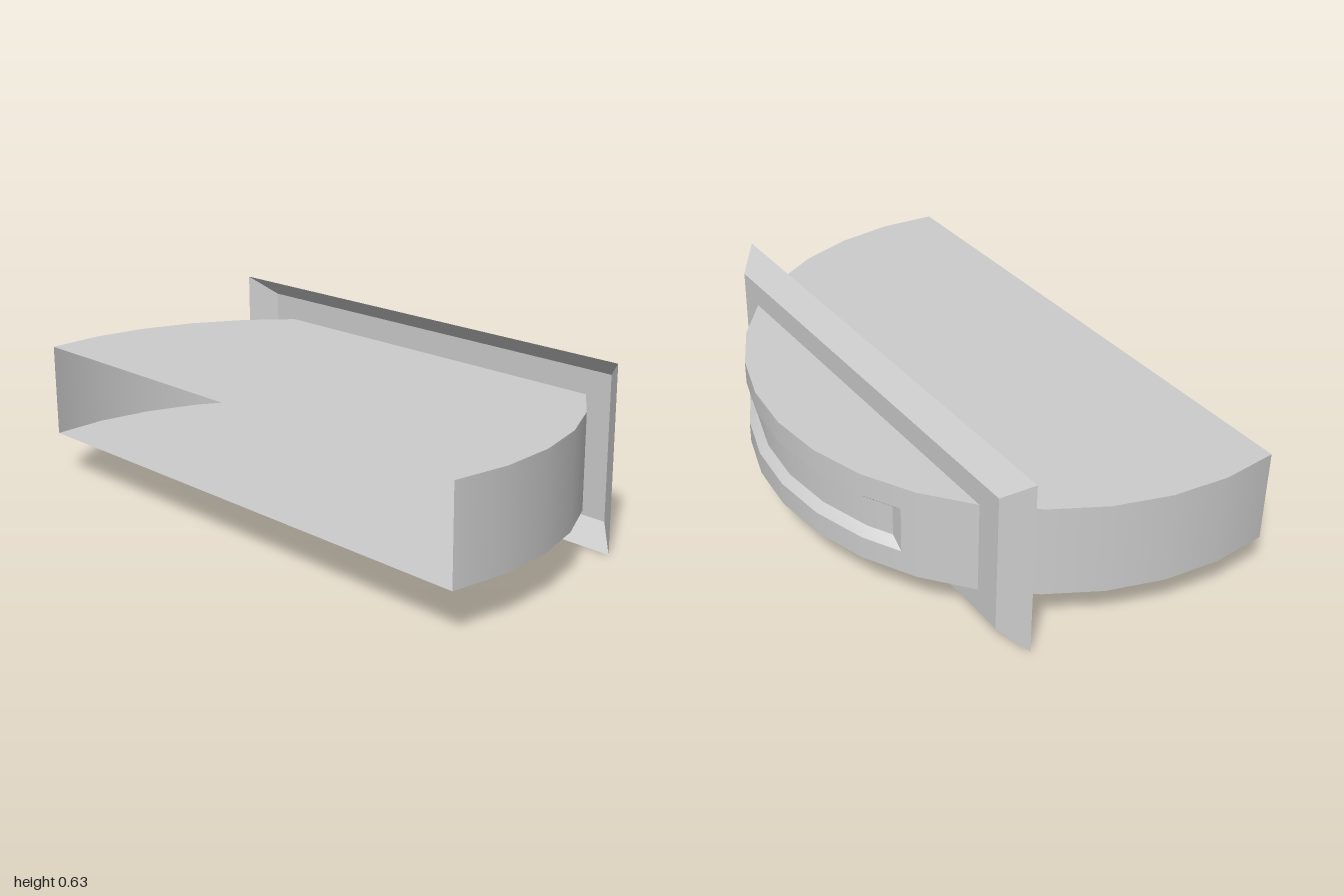
import * as THREE from 'three';

const CX = -0.4025;               // centre of the round body
const STEP = Math.PI / 16;        // one side of the 32-sided outline
const Y0 = 0.155, Y1 = 0.478;     // underside and top of the body
const G0 = 0.235, G1 = 0.398;     // groove mouth
const F0 = 0.262, F1 = 0.371;     // groove floor
const FLOOR_R = 0.97;
const MOUTH_A = Math.asin(0.51), FLOOR_A = Math.asin(0.455 / FLOOR_R);

const material = new THREE.MeshStandardMaterial({ color: 0xcccccc, side: THREE.DoubleSide });

// Point on the 32-sided outline at angle a
function rim(a, r, y) {
  const mid = (Math.floor(a / STEP + 1e-6) + 0.5) * STEP;
  const d = r * Math.cos(STEP / 2) / Math.cos(a - mid);
  return [CX + d * Math.cos(a), y, d * Math.sin(a)];
}

// Outline angles from a0 to a1, with the corners between them
function angles(a0, a1) {
  const list = [a0];
  for (let k = -9; k <= 9; k++) {
    const a = k * STEP;
    if (a > a0 + 1e-4 && a < a1 - 1e-4) list.push(a);
  }
  return [...list, a1];
}

// Smooth strip between a lower and an upper row of points; radial gives wall normals
function strip(low, high, radial) {
  const pos = [], index = [], normals = [];
  low.forEach((p, i) => {
    pos.push(...p, ...high[i]);
    const n = new THREE.Vector3(p[0] - CX, 0, p[2]).normalize();
    normals.push(...n.toArray(), ...n.toArray());
    const k = 2 * i;
    if (i < low.length - 1) index.push(k, k + 1, k + 3, k, k + 3, k + 2);
  });
  const g = new THREE.BufferGeometry();
  g.setAttribute('position', new THREE.Float32BufferAttribute(pos, 3));
  g.setIndex(index);
  if (radial) g.setAttribute('normal', new THREE.Float32BufferAttribute(normals, 3));
  else g.computeVertexNormals();
  return g;
}

function wall(a0, a1, r, y0, y1) {
  const list = angles(a0, a1);
  return strip(list.map(a => rim(a, r, y0)), list.map(a => rim(a, r, y1)), true);
}

function add(parent, name, geometry) {
  const mesh = new THREE.Mesh(geometry, material);
  mesh.name = name;
  parent.add(mesh);
  return mesh;
}

function createBody() {
  const body = new THREE.Group();
  body.name = 'body';
  const END = 9 * STEP;

  // Curved wall, left open around the groove and at the straight side
  add(body, 'lowerWall', wall(-END, END, 1, Y0, G0));
  add(body, 'upperWall', wall(-END, END, 1, G1, Y1));
  add(body, 'wallSide', wall(-END, -MOUTH_A, 1, G0, G1));
  add(body, 'wallSide', wall(MOUTH_A, END, 1, G0, G1));

  // Flat top and underside
  const outline = new THREE.Shape(angles(-END, END).map(a => {
    const [x, , z] = rim(a, 1, 0);
    return new THREE.Vector2(x, -z);
  }));
  const top = new THREE.ShapeGeometry(outline).rotateX(-Math.PI / 2).translate(0, Y1, 0);
  add(body, 'topPanel', top);
  const bottom = new THREE.ShapeGeometry(outline).scale(1, -1, 1);
  bottom.index.array.reverse();
  bottom.rotateX(Math.PI / 2).translate(0, Y0, 0);
  bottom.computeVertexNormals();
  add(body, 'bottomPanel', bottom);

  // Groove with sloping sides
  const mouth = angles(-MOUTH_A, MOUTH_A);
  const floor = [-FLOOR_A, ...mouth.slice(1, -1), FLOOR_A];
  const mouthRow = y => mouth.map(a => rim(a, 1, y));
  const floorRow = y => floor.map(a => rim(a, FLOOR_R, y));
  add(body, 'grooveFloor', strip(floorRow(F0), floorRow(F1), true));
  add(body, 'grooveLowerSlope', strip(mouthRow(G0), floorRow(F0)));
  add(body, 'grooveUpperSlope', strip(floorRow(F1), mouthRow(G1)));
  for (const s of [-1, 1]) {
    const outer = [rim(s * MOUTH_A, 1, G0), rim(s * MOUTH_A, 1, G1)];
    const inner = [rim(s * FLOOR_A, FLOOR_R, F0), rim(s * FLOOR_A, FLOOR_R, F1)];
    const [a, b] = s < 0 ? [outer, inner] : [inner, outer];
    add(body, 'grooveEnd', strip([a[0], b[0]], [a[1], b[1]]));
  }
  return body;
}

// Hollow bevelled surround: rectangles joined from back edge to front edge to opening
function createFrame() {
  const loops = [
    { x: 0.228, z: 0.885, y0: 0, y1: 0.628 },
    { x: 0.304, z: 0.805, y0: 0.07, y1: 0.562 },
    { x: 0.304, z: 0.705, y0: Y0, y1: Y1 },
  ].map(({ x, z, y0, y1 }) => [[x, y0, z], [x, y0, -z], [x, y1, -z], [x, y1, z]]);
  const pos = [];
  for (let l = 0; l < 2; l++) {
    for (let i = 0; i < 4; i++) {
      const j = (i + 1) % 4;
      const [a, b, c, d] = [loops[l][i], loops[l][j], loops[l + 1][j], loops[l + 1][i]];
      pos.push(...a, ...b, ...c, ...a, ...c, ...d);
    }
  }
  const g = new THREE.BufferGeometry();
  g.setAttribute('position', new THREE.Float32BufferAttribute(pos, 3));
  g.computeVertexNormals();
  return g;
}

export function createModel() {
  const model = new THREE.Group();
  model.name = 'model';
  model.add(createBody());
  add(model, 'frame', createFrame());
  return model;
}
